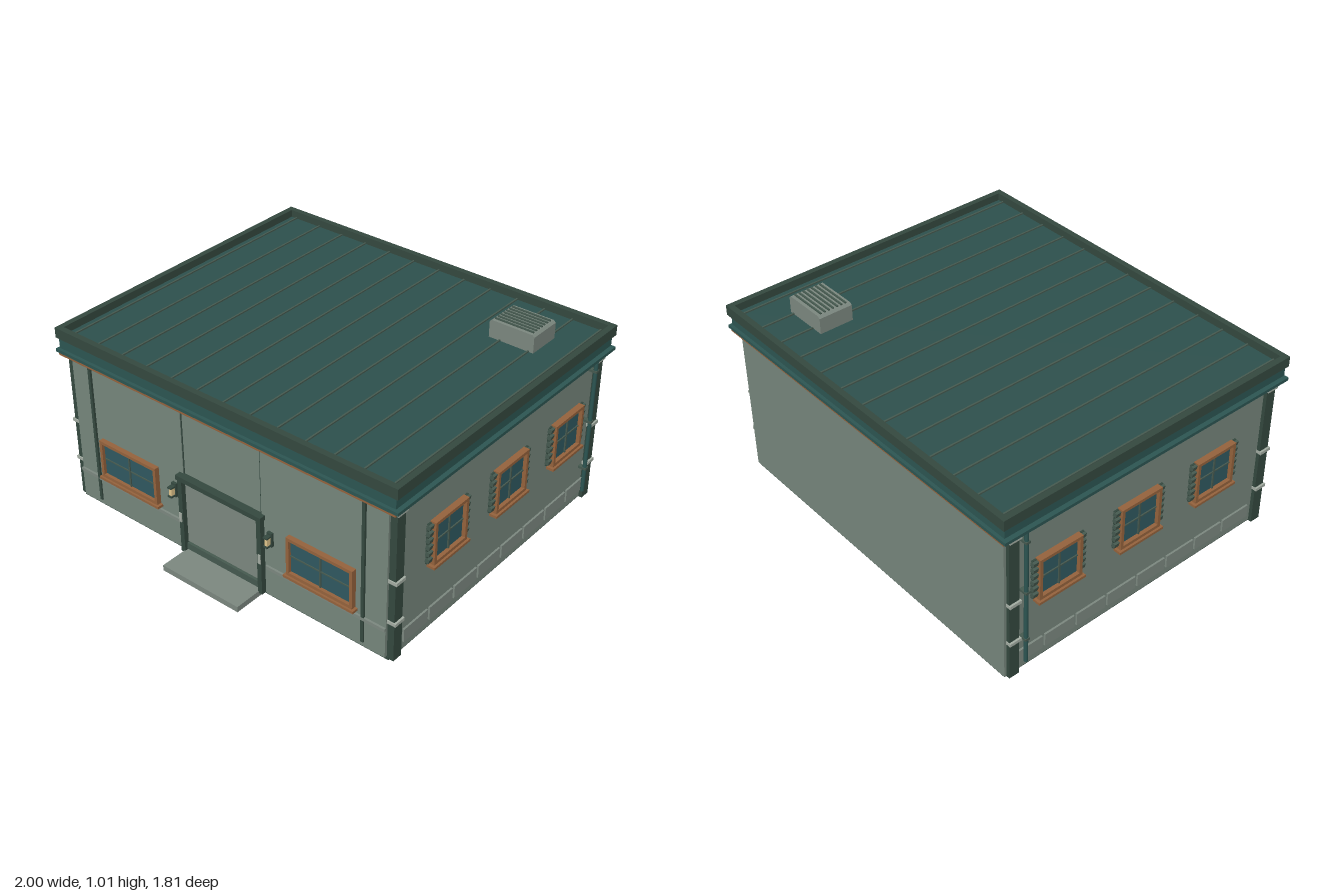
import * as THREE from 'three';

const mat = (color, side = THREE.FrontSide) => new THREE.MeshStandardMaterial({ color, side, roughness: 0.85 });

export function createModel() {
  const model = new THREE.Group();
  model.name = 'building';
  const wall = mat(0x75857b), panel = mat(0x7b877f), dark = mat(0x34483f), seam = mat(0x45594f);
  const teal = mat(0x2c5552), roofMat = mat(0x2d504c), orange = mat(0x94623c);
  const glass = mat(0x2f5860), pale = mat(0xa3aca2), lampMat = mat(0xe0c48a);

  // Box given by its min and max on each axis
  const box = (parent, name, material, x0, x1, y0, y1, z0, z1) => {
    const mesh = new THREE.Mesh(new THREE.BoxGeometry(x1 - x0, y1 - y0, z1 - z0), material);
    mesh.position.set((x0 + x1) / 2, (y0 + y1) / 2, (z0 + z1) / 2);
    mesh.name = name;
    parent.add(mesh);
    return mesh;
  };
  // Horizontal rectangular ring, extruded upward
  const ring = (name, material, x, z0, z1, y0, y1, t) => {
    const rect = (C, w, a, b) => {
      const p = new C();
      p.moveTo(-w, -b); p.lineTo(w, -b); p.lineTo(w, -a); p.lineTo(-w, -a); p.closePath();
      return p;
    };
    const shape = rect(THREE.Shape, x, z0, z1);
    shape.holes.push(rect(THREE.Path, x - t, z0 + t, z1 - t));
    const mesh = new THREE.Mesh(new THREE.ExtrudeGeometry(shape, { depth: y1 - y0, bevelEnabled: false }), material);
    mesh.rotation.x = -Math.PI / 2;
    mesh.position.y = y0;
    mesh.name = name;
    model.add(mesh);
  };
  // Window facing +z, centred on the origin with its back at z = 0
  const makeWindow = (w, h, shutters) => {
    const g = new THREE.Group(), a = w / 2, b = h / 2, t = 0.016;
    g.name = 'window';
    box(g, 'glass', glass, -a + t, a - t, -b + t, b - t, 0, 0.01);
    for (const s of [-1, 1]) {
      const x = s * (a - t / 2), y = s * (b - t / 2);
      box(g, 'frameSide', orange, x - t / 2, x + t / 2, -b, b, 0, 0.026);
      box(g, 'frameRail', orange, -a, a, y - t / 2, y + t / 2, 0, 0.026);
    }
    box(g, 'mullion', seam, -0.004, 0.004, -b + t, b - t, 0, 0.016);
    box(g, 'crossBar', seam, -a + t, a - t, -0.003, 0.003, 0, 0.015);
    box(g, 'sill', orange, -a - 0.012, a + 0.012, -b - 0.015, -b - 0.002, 0, 0.034);
    if (shutters) for (const s of [-1, 1]) {
      const x = s * (a + 0.013);
      box(g, 'shutterBack', dark, x - 0.012, x + 0.012, -b + 0.01, b - 0.005, 0, 0.008);
      for (let i = 0; i < 6; i++) {
        const y = -b + 0.03 + i * (h - 0.05) / 5;
        box(g, 'shutterSlat', seam, x - 0.014, x + 0.014, y - 0.012, y + 0.012, 0, 0.017).rotation.x = 0.2;
      }
    }
    return g;
  };

  // Main body
  box(model, 'foundation', dark, -0.945, 0.945, 0.005, 0.022, -0.865, 0.728);
  box(model, 'walls', wall, -0.95, 0.95, 0.015, 0.85, -0.87, 0.71);
  box(model, 'centreBay', wall, -0.232, 0.232, 0.02, 0.83, 0.7, 0.729);

  // Eaves and parapet
  box(model, 'gutter', teal, -1, 1, 0.824, 0.84, -0.905, 0.768);
  box(model, 'fascia', teal, -0.982, 0.982, 0.846, 0.903, -0.893, 0.758);
  box(model, 'shadowGap', dark, -0.962, 0.962, 0.836, 0.85, -0.875, 0.74);
  box(model, 'frontTrim', orange, -0.985, 0.985, 0.81, 0.826, 0.72, 0.764);
  box(model, 'backTrim', orange, -0.985, 0.985, 0.81, 0.826, -0.9, -0.86);
  ring('parapet', dark, 0.995, -0.907, 0.766, 0.9, 0.953, 0.03);

  // Roof with standing seams
  box(model, 'roof', roofMat, -0.97, 0.97, 0.895, 0.914, -0.882, 0.74);
  for (let i = -6; i <= 6; i++) {
    const x = i * 0.155;
    box(model, 'roofSeam', seam, x - 0.004, x + 0.004, 0.912, 0.921, -0.877, 0.736);
  }

  // Rooftop vent unit: chamfered housing with slats
  const vent = new THREE.Group();
  vent.name = 'roofVent';
  const profile = new THREE.Shape();
  [[-0.121, 0], [0.121, 0], [0.121, 0.084], [0.11, 0.094], [-0.11, 0.094], [-0.121, 0.084]]
    .forEach(([x, y], i) => (i ? profile.lineTo(x, y) : profile.moveTo(x, y)));
  const housing = new THREE.Mesh(new THREE.ExtrudeGeometry(profile, { depth: 0.18, bevelEnabled: false }), panel);
  housing.name = 'ventHousing';
  housing.position.z = -0.09;
  vent.add(housing);
  for (let i = 0; i < 7; i++) {
    const z = -0.069 + i * 0.023;
    box(vent, 'ventSlat', seam, -0.105, 0.105, 0.092, 0.101, z - 0.004, z + 0.004);
  }
  vent.position.set(0.68, 0.912, -0.588);
  model.add(vent);

  // Entrance
  box(model, 'door', panel, -0.226, 0.226, 0.075, 0.432, 0.72, 0.738);
  box(model, 'threshold', seam, -0.226, 0.226, 0.035, 0.07, 0.72, 0.748);
  box(model, 'lintel', dark, -0.258, 0.258, 0.43, 0.455, 0.72, 0.768);
  box(model, 'doorStep', panel, -0.232, 0.232, 0, 0.03, 0.715, 0.905);

  for (const s of [-1, 1]) {
    // Mirrored box: the x range is measured outward from the centre line
    const side = (name, m, x0, x1, ...rest) =>
      box(model, name, m, Math.min(s * x0, s * x1), Math.max(s * x0, s * x1), ...rest);

    // Front cladding, plinth and entrance surround
    side('frontWallPanel', wall, 0.237, 0.932, 0.018, 0.82, 0.7, 0.735);
    side('baySeam', dark, 0.231, 0.238, 0.45, 0.82, 0.7, 0.732);
    side('frontPlinth', wall, 0.262, 0.932, 0.02, 0.163, 0.73, 0.739);
    side('plinthLedge', panel, 0.262, 0.932, 0.166, 0.183, 0.73, 0.746);
    side('doorJamb', dark, 0.227, 0.252, 0.02, 0.432, 0.72, 0.762);
    side('jambPlate', pale, 0.235, 0.25, 0.195, 0.245, 0.75, 0.766);
    side('frontStrip', dark, 0.802, 0.818, 0.045, 0.815, 0.73, 0.746);

    // Front window
    const front = makeWindow(0.37, 0.205, false);
    front.position.set(s * 0.582, 0.316, 0.735);
    model.add(front);

    // Wall lamp
    side('lampPlate', dark, 0.278, 0.306, 0.308, 0.382, 0.73, 0.75);
    side('lampGlow', lampMat, 0.284, 0.3, 0.324, 0.364, 0.748, 0.772);
    side('lampCap', dark, 0.28, 0.304, 0.364, 0.372, 0.748, 0.778);
    side('lampBase', dark, 0.28, 0.304, 0.316, 0.324, 0.748, 0.778);

    // Corner posts with pale brackets
    for (const [z0, z1] of [[0.67, 0.725], [-0.857, -0.802]]) {
      side('cornerPost', dark, 0.933, 0.968, 0.01, 0.826, z0, z1);
      for (const y of [0.217, 0.437, 0.795])
        side('postBracket', pale, 0.932, 0.978, y - 0.008, y + 0.008, z0 - 0.003, z1 + 0.006);
    }

    // Downpipe with clips
    const pipe = new THREE.Mesh(new THREE.CylinderGeometry(0.01, 0.01, 0.755, 10), teal);
    pipe.name = 'downpipe';
    pipe.position.set(s * 0.98, 0.452, -0.775);
    model.add(pipe);
    for (const y of [0.21, 0.48, 0.76])
      side('pipeClip', seam, 0.945, 0.992, y - 0.006, y + 0.006, -0.787, -0.763);

    // Side windows with louvred shutters
    for (const z of [0.353, -0.114, -0.581]) {
      const w = makeWindow(0.24, 0.225, true);
      w.position.set(s * 0.952, 0.497, z);
      w.rotation.y = s * Math.PI / 2;
      w.scale.z = 1.2;
      model.add(w);
    }

    // Row of low panels along the side
    for (let i = 0; i < 8; i++) {
      const z = 0.556 - i * 0.186;
      side('sidePanel', panel, 0.94, 0.96, 0.058, 0.127, z - 0.086, z + 0.086);
    }
  }
  return model;
}
